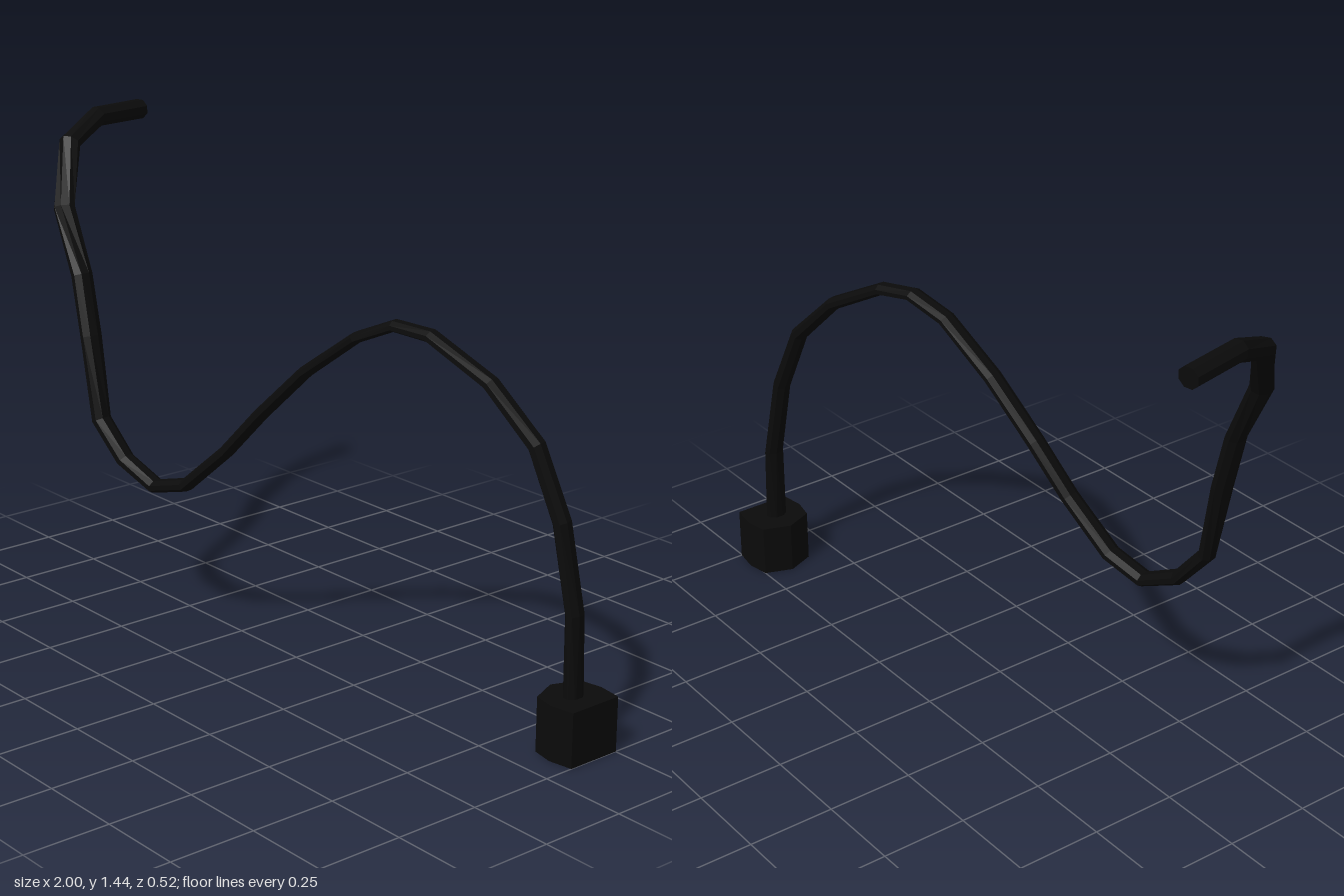
import * as THREE from 'three';

const black = new THREE.MeshStandardMaterial({ color: 0x0b0b0b, flatShading: true });
black.name = 'black rubber';

// Cable centreline and half thickness: x, y, z, t
const PATH = [
  [0.925, 0.1, -0.165, 0.022], [0.919, 0.38, -0.165, 0.022], [0.875, 0.62, -0.153, 0.022],
  [0.8, 0.81, -0.13, 0.021], [0.663, 0.95, -0.095, 0.018], [0.49, 1.046, -0.045, 0.016],
  [0.388, 1.057, -0.012, 0.015], [0.285, 1.01, 0.028, 0.015], [0.12, 0.885, 0.065, 0.016],
  [-0.03, 0.735, 0.1, 0.017], [-0.145, 0.605, 0.13, 0.017], [-0.285, 0.477, 0.165, 0.018],
  [-0.405, 0.445, 0.185, 0.018], [-0.52, 0.5, 0.208, 0.02], [-0.605, 0.605, 0.229, 0.021],
  [-0.66, 0.84, 0.22, 0.022], [-0.71, 1.01, 0.212, 0.023], [-0.8, 1.19, 0.205, 0.025],
  [-0.885, 1.355, 0.122, 0.028], [-0.935, 1.408, -0.01, 0.028], [-0.968, 1.405, -0.19, 0.028],
];
const SIDES = 8;

// Oval tube swept along the path, its wide axis kept level
function cableGeometry() {
  const pts = PATH.map(p => new THREE.Vector3(p[0], p[1], p[2]));
  const up = new THREE.Vector3(0, 1, 0);
  const last = pts.length - 1;
  const pos = [], idx = [];
  pts.forEach((p, i) => {
    const t = new THREE.Vector3();
    if (i > 0) t.add(p.clone().sub(pts[i - 1]).normalize());
    if (i < last) t.add(pts[i + 1].clone().sub(p).normalize());
    t.normalize();
    const n = t.clone().cross(up).normalize();
    const b = t.clone().cross(n);
    for (let j = 0; j < SIDES; j++) {
      const a = ((j + 0.5) / SIDES) * Math.PI * 2;
      const v = p.clone().addScaledVector(n, 0.032 * Math.cos(a))
        .addScaledVector(b, PATH[i][3] * 1.06 * Math.sin(a));
      pos.push(v.x, v.y, v.z);
    }
  });
  for (let i = 0; i < last; i++) {
    for (let j = 0; j < SIDES; j++) {
      const a = i * SIDES + j, b = i * SIDES + (j + 1) % SIDES;
      idx.push(a, b, a + SIDES, b, b + SIDES, a + SIDES);
    }
  }
  // end caps
  const e = last * SIDES;
  for (let j = 1; j < SIDES - 1; j++) {
    idx.push(0, j + 1, j, e, e + j, e + j + 1);
  }
  const g = new THREE.BufferGeometry();
  g.setAttribute('position', new THREE.Float32BufferAttribute(pos, 3));
  g.setIndex(idx);
  g.computeVertexNormals();
  return g;
}

// Plug block: chamfered outline in x and -z, extruded upwards
function plugGeometry() {
  const outline = [
    [1, 0.088], [1, 0.252], [0.93, 0.262], [0.865, 0.25],
    [0.835, 0.17], [0.868, 0.09], [0.93, 0.077],
  ].map(([x, y]) => new THREE.Vector2(x, y));
  const g = new THREE.ExtrudeGeometry(new THREE.Shape(outline), { depth: 0.155, bevelEnabled: false });
  return g.rotateX(-Math.PI / 2);
}

export function createModel() {
  const group = new THREE.Group();
  group.name = 'cable with plug';
  const add = (name, geometry) => {
    const mesh = new THREE.Mesh(geometry, black);
    mesh.name = name;
    group.add(mesh);
  };
  add('cable', cableGeometry());
  add('plug', plugGeometry());
  return group;
}
